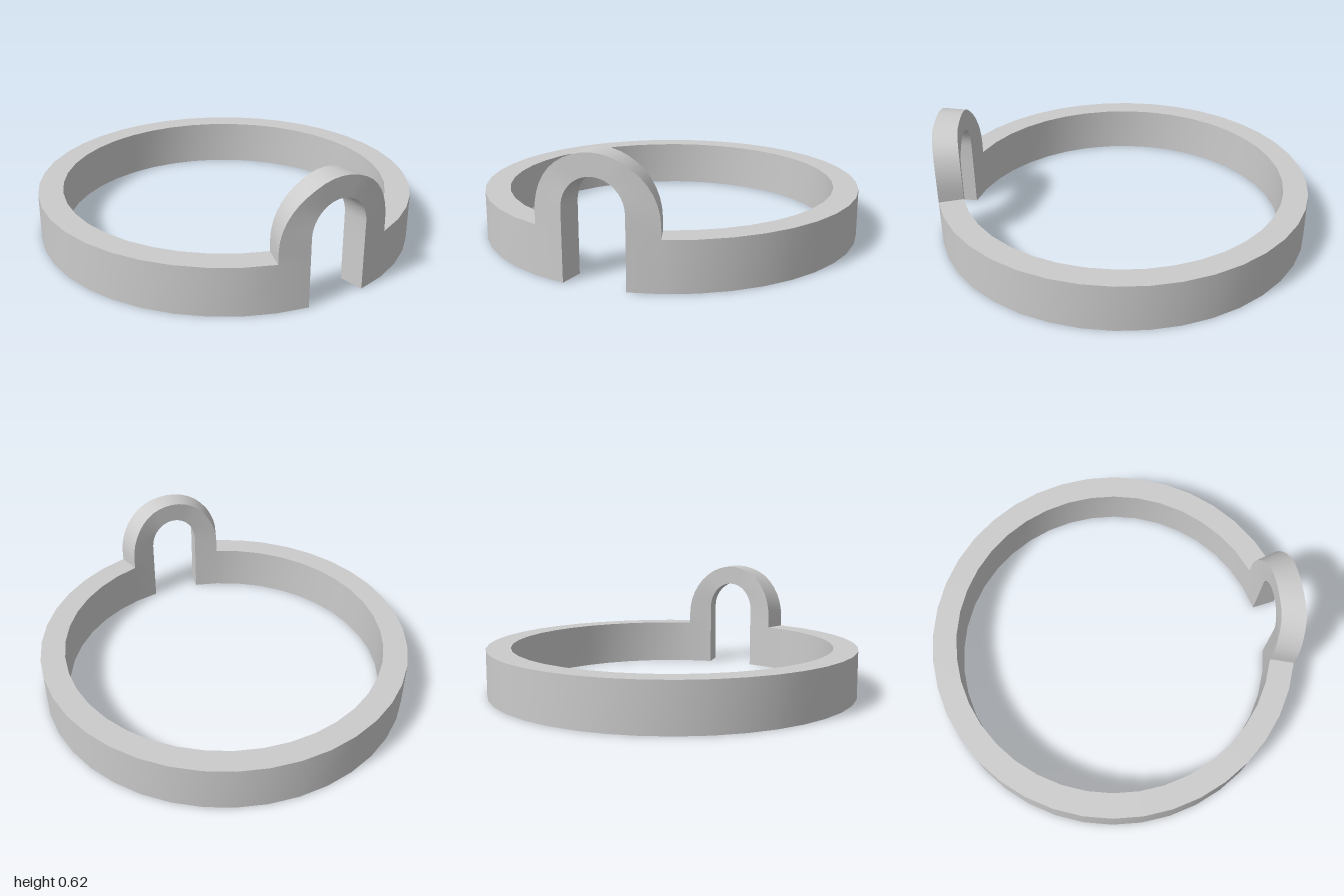
import * as THREE from 'three';
import { toCreasedNormals } from 'three/addons/utils/BufferGeometryUtils.js';

const OUTER = 1, INNER = 0.87, HEIGHT = 0.25;
const STEP = Math.PI / 20;      // one of the 40 facets of the ring
const SLOT_TOP = 0.355;         // where the slot's straight sides end
const ARCH_TOP = 0.31;          // where the arch's straight sides end
const ARC_SEGMENTS = 20;

// Bend an unrolled point (angle, height) onto a wall; the front facet stays flat
function wrap([a, y], radius) {
  const r = Math.abs(a) < STEP ? radius * Math.cos(STEP) / Math.cos(a) : radius;
  return [r * Math.sin(a), y, r * Math.cos(a) + 0.006];
}

// Solid strip between a right-hand (low) and a left-hand (high) outline
function addStrip(out, low, high, { caps = false, hasHighWall = () => true } = {}) {
  const quad = (a, b, c, d) => out.push(...a, ...b, ...c, ...a, ...c, ...d);
  const rows = low.map((p, i) => ({
    lo: wrap(p, OUTER), hi: wrap(high[i], OUTER),
    li: wrap(p, INNER), hiIn: wrap(high[i], INNER),
  }));
  for (let i = 0; i < rows.length - 1; i++) {
    const p = rows[i], q = rows[i + 1];
    quad(p.lo, q.lo, q.hi, p.hi);           // outer face
    quad(q.li, p.li, p.hiIn, q.hiIn);       // inner face
    quad(p.li, q.li, q.lo, p.lo);           // low edge
    if (hasHighWall(i)) quad(p.hi, q.hi, q.hiIn, p.hiIn);
  }
  if (caps) {
    const s = rows[0], e = rows[rows.length - 1];
    quad(s.li, s.lo, s.hi, s.hiIn);
    quad(e.lo, e.li, e.hiIn, e.hi);
  }
}

export function createModel() {
  const group = new THREE.Group();
  const positions = [];

  // Ring band, open across the arch
  const bottom = [], top = [];
  for (let i = 2; i <= 38; i++) {
    bottom.push([i * STEP, 0]);
    top.push([i * STEP, HEIGHT]);
  }
  // Use the same end angle as the arch so the seam closes
  bottom[36][0] = top[36][0] = -2 * STEP;
  addStrip(positions, bottom, top);

  // Arch: up one leg, over the slot, down the other leg
  const slot = [[-STEP, 0], [-STEP, HEIGHT]];
  const arch = [[-2 * STEP, 0], [-2 * STEP, HEIGHT]];
  for (let i = 0; i <= ARC_SEGMENTS; i++) {
    const t = Math.PI * (1 - i / ARC_SEGMENTS);
    slot.push([STEP * Math.cos(t), SLOT_TOP + 0.157 * Math.sin(t)]);
    arch.push([2 * STEP * Math.cos(t), ARCH_TOP + 0.31 * Math.sin(t)]);
  }
  slot.push([STEP, HEIGHT], [STEP, 0]);
  arch.push([2 * STEP, HEIGHT], [2 * STEP, 0]);
  addStrip(positions, slot, arch, {
    caps: true,
    hasHighWall: (i) => i > 0 && i < slot.length - 2,
  });

  const geometry = new THREE.BufferGeometry();
  geometry.setAttribute('position', new THREE.Float32BufferAttribute(positions, 3));
  const mesh = new THREE.Mesh(
    toCreasedNormals(geometry, Math.PI / 6),
    new THREE.MeshStandardMaterial({ color: 0xcccccc }),
  );
  mesh.name = 'ringWithArch';
  group.add(mesh);
  return group;
}
